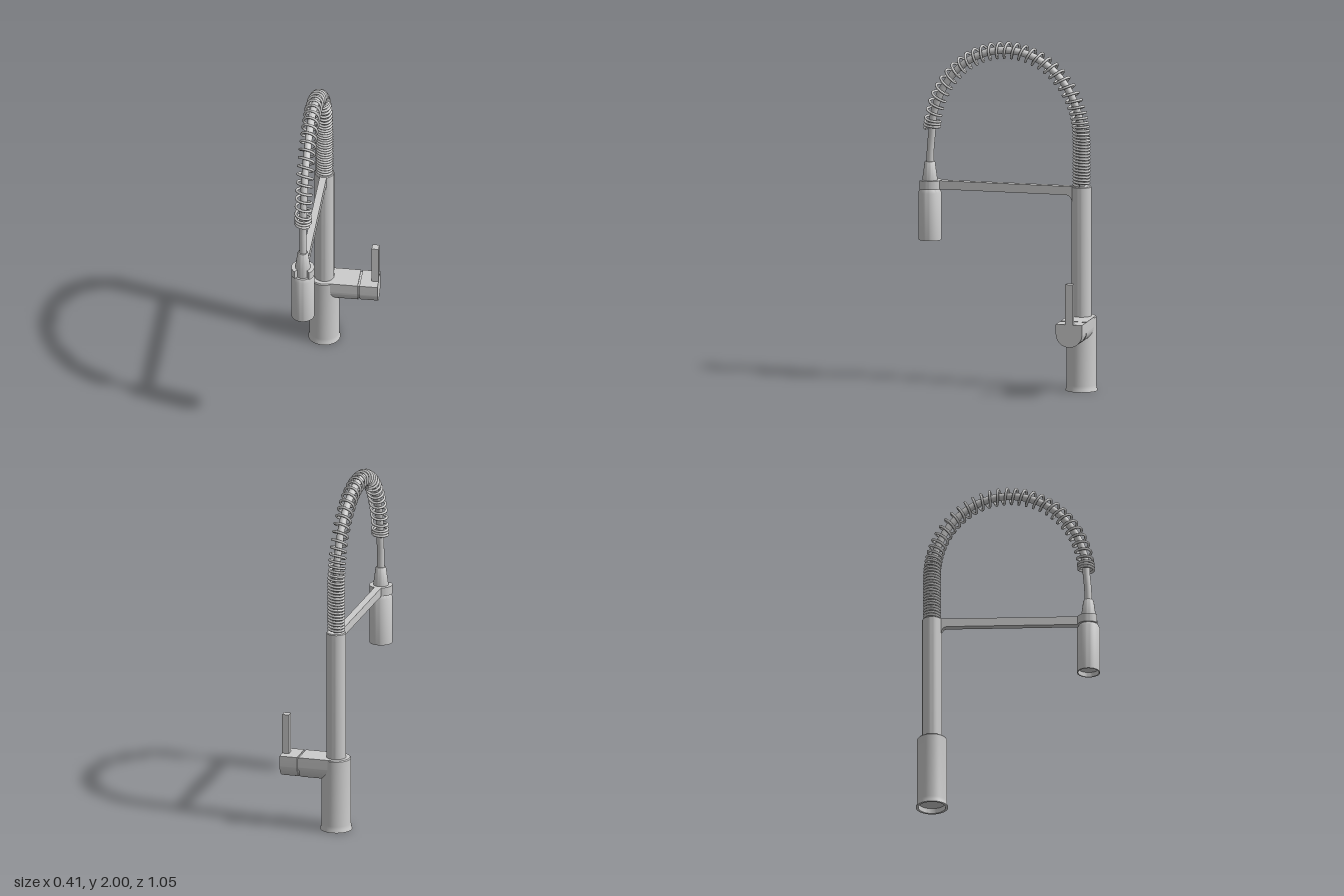
import * as THREE from 'three';
import { toCreasedNormals } from 'three/addons/utils/BufferGeometryUtils.js';

const material = new THREE.MeshStandardMaterial({ color: 0xcccccc, side: THREE.DoubleSide });
const POST = { x: -0.113, z: -0.433 };   // axis of base and post
const HEAD = { x: -0.124, z: 0.459 };    // axis of the spray head

function createPart(name, geometry, x = 0, y = 0, z = 0, crease = 0.6) {
  const mesh = new THREE.Mesh(crease ? toCreasedNormals(geometry, crease) : geometry, material);
  mesh.name = name;
  mesh.position.set(x, y, z);
  return mesh;
}

function lathe(points) {
  return new THREE.LatheGeometry(points.map(([r, y]) => new THREE.Vector2(r, y)), 48);
}

// Flat-topped, round-bottomed bar running along +x, origin at its top centre
function dBar(r, height, length) {
  const shape = new THREE.Shape();
  shape.moveTo(r, 0);
  shape.lineTo(-r, 0);
  shape.lineTo(-r, r - height);
  shape.absarc(0, r - height, r, Math.PI, 2 * Math.PI, false);
  shape.closePath();
  return new THREE.ExtrudeGeometry(shape, { depth: length, bevelEnabled: false, curveSegments: 28 })
    .rotateY(Math.PI / 2);
}

// Centre line of the hose: up from the post, over an elliptical arch, down to the head
function hoseCurve() {
  const points = [];
  const mid = 0.007, a = 0.44, top = 1.945, spring = 1.45;
  const add = (z, y) => {
    const t = THREE.MathUtils.clamp((z + a - mid) / a, 0, 1);
    points.push(new THREE.Vector3(THREE.MathUtils.lerp(POST.x, HEAD.x, t), y, z));
  };
  for (const y of [1.17, 1.24, 1.31, 1.38]) add(mid - a, y);
  for (let i = 0; i <= 24; i++) {
    const angle = Math.PI * (1 - i / 24);
    add(mid + a * Math.cos(angle), spring + (top - spring) * Math.sin(angle));
  }
  add(0.455, 1.36);
  add(HEAD.z, 1.25);
  const curve = new THREE.CatmullRomCurve3(points);
  curve.arcLengthDivisions = 600;
  return curve;
}

// Helix wound round the hose, tight at both ends and open over the arch
function springGeometry(hose) {
  const length = hose.getLength(), end = length - 0.225, steps = 22;
  const pitch = (s) => {
    if (end - s < 0.05) return 0.0165;
    return THREE.MathUtils.lerp(0.0175, 0.047, THREE.MathUtils.smoothstep(s, 0.27, 0.6));
  };
  const points = [], side = new THREE.Vector3(1, 0, 0), out = new THREE.Vector3();
  for (let s = 0.015, phase = 0; s < end; s += pitch(s) / steps, phase += 2 * Math.PI / steps) {
    const u = s / length;
    out.crossVectors(side, hose.getTangentAt(u)).normalize();
    points.push(hose.getPointAt(u)
      .addScaledVector(side, 0.0435 * Math.cos(phase))
      .addScaledVector(out, 0.0435 * Math.sin(phase)));
  }
  const helix = new THREE.CatmullRomCurve3(points);
  helix.arcLengthDivisions = points.length * 2;
  return new THREE.TubeGeometry(helix, points.length, 0.0075, 8, false);
}

export function createModel() {
  const faucet = new THREE.Group();
  faucet.name = 'faucet';

  // Base with flared foot and recessed underside, and the post on it
  faucet.add(createPart('base', lathe([
    [0, 0.03], [0.078, 0.03], [0.078, 0], [0.092, 0], [0.091, 0.006], [0.087, 0.016], [0.085, 0.035],
    [0.085, 0.424], [0.08, 0.43], [0, 0.43],
  ]), POST.x, 0, POST.z));
  faucet.add(createPart('post', lathe([
    [0, 0.42], [0.056, 0.42], [0.056, 1.175], [0.052, 1.18], [0, 1.18],
  ]), POST.x, 0, POST.z));

  // Side valve, groove, turning cap and lever
  const valveZ = -0.436;
  faucet.add(createPart('valveBody', dBar(0.077, 0.134, 0.2), POST.x, 0.43, valveZ));
  faucet.add(createPart('valveGroove', dBar(0.07, 0.12, 0.03), 0.08, 0.423, valveZ));
  faucet.add(createPart('valveCap', dBar(0.077, 0.132, 0.103), 0.097, 0.43, valveZ));
  faucet.add(createPart('lever', new THREE.BoxGeometry(0.04, 0.25, 0.043), 0.18, 0.537, valveZ));

  // Hose and spring
  const hose = hoseCurve();
  faucet.add(createPart('hose', new THREE.TubeGeometry(hose, 120, 0.021, 20, false), 0, 0, 0, 0));
  faucet.add(createPart('spring', springGeometry(hose), 0, 0, 0, 0));

  // Support arm, drawn in side profile with a fillet where it meets the post
  const profile = new THREE.Shape();
  profile.moveTo(-0.4, 1.177);
  profile.lineTo(0.415, 1.177);
  profile.lineTo(0.415, 1.127);
  profile.lineTo(-0.345, 1.127);
  profile.quadraticCurveTo(-0.377, 1.125, -0.379, 1.09);
  profile.lineTo(-0.4, 1.09);
  profile.closePath();
  const arm = new THREE.ExtrudeGeometry(profile, { depth: 0.04, bevelEnabled: false })
    .translate(0, 0, -0.02).rotateY(-Math.PI / 2);
  const armMesh = createPart('supportArm', arm, (POST.x + HEAD.x) / 2, 0, 0);
  armMesh.rotation.y = -0.012;
  faucet.add(armMesh);

  // Open clip holding the spray head, gap towards the front
  const clip = new THREE.Shape();
  const gap = 0.7;
  clip.absarc(0, 0, 0.066, -Math.PI / 2 + gap, 1.5 * Math.PI - gap, false);
  clip.absarc(0, 0, 0.042, 1.5 * Math.PI - gap, -Math.PI / 2 + gap, true);
  clip.closePath();
  faucet.add(createPart('headClip',
    new THREE.ExtrudeGeometry(clip, { depth: 0.05, bevelEnabled: false, curveSegments: 32 })
      .rotateX(-Math.PI / 2), HEAD.x, 1.127, HEAD.z));

  // Spray head with hollow mouth and tapered neck
  faucet.add(createPart('sprayHead', lathe([
    [0, 0.86], [0.059, 0.86], [0.059, 0.832], [0.066, 0.832], [0.066, 1.105], [0.056, 1.126],
    [0.043, 1.126], [0.043, 1.185], [0.03, 1.28], [0.027, 1.284], [0, 1.284],
  ]), HEAD.x, 0, HEAD.z));

  return faucet;
}
